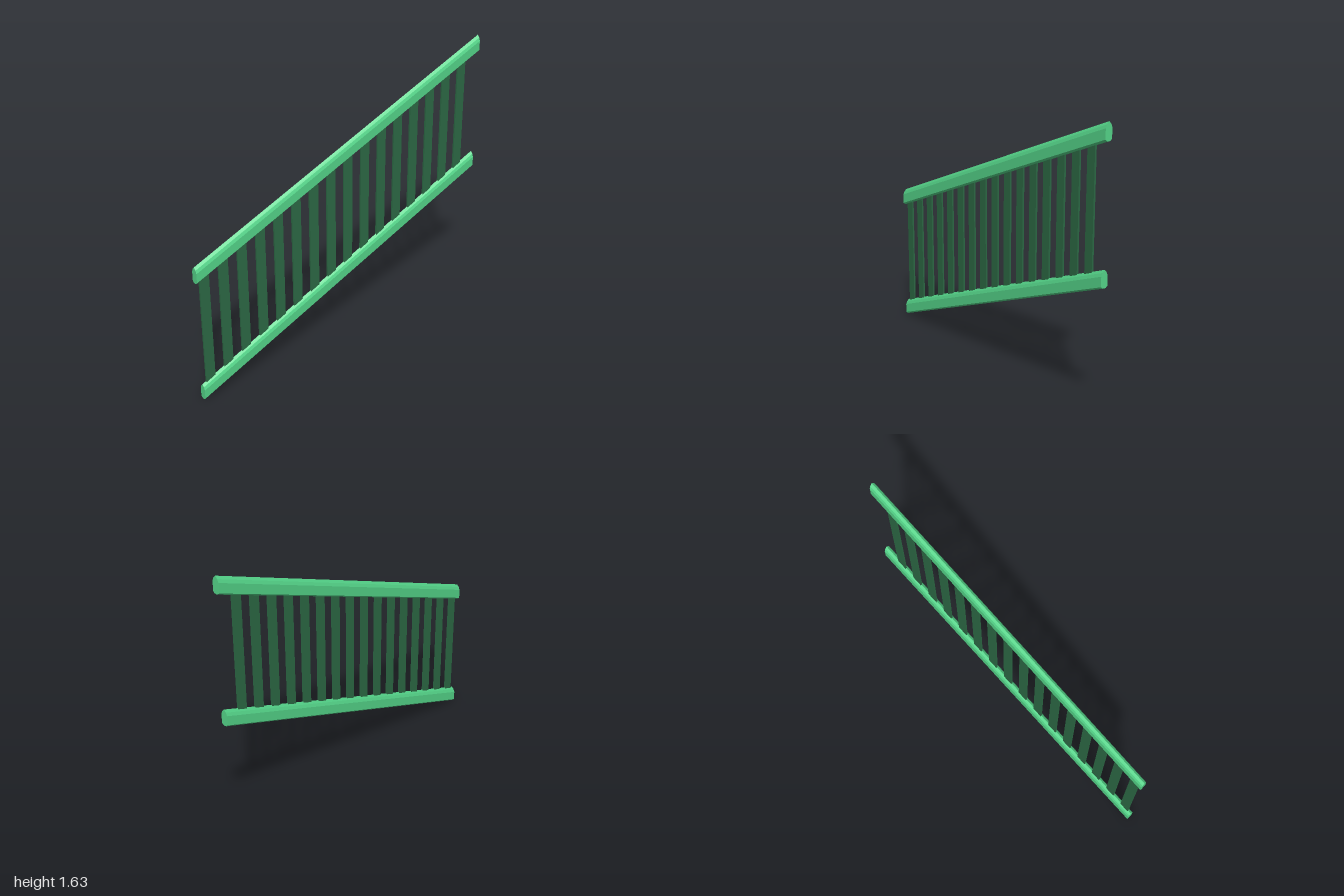
import * as THREE from 'three';

const SLOPE = 0.397;   // rise per unit of run
const GAP = 0.742;     // height between the two rails
const RAIL_H = 0.098;

export function createModel() {
  const group = new THREE.Group();
  const railGreen = new THREE.MeshStandardMaterial({ color: 0x55d68a, flatShading: true });
  railGreen.name = 'light green';
  const barGreen = new THREE.MeshStandardMaterial({ color: 0x2c6a45, flatShading: true });
  barGreen.name = 'dark green';

  const floorAt = (x) => SLOPE * (x + 1); // underside of the lower rail

  // Makes a level part follow the stairs, keeping its ends upright
  const shear = new THREE.Matrix4().set(
    1, 0, 0, 0,
    SLOPE, 1, 0, SLOPE,
    0, 0, 1, 0,
    0, 0, 0, 1
  );

  // Rails: pointed top, straight sides, small chamfers underneath
  const half = [[0.011, 0.002], [0.02, 0.011], [0.02, 0.066], [0.013, 0.084]];
  const profile = new THREE.Shape([
    new THREE.Vector2(0, 0),
    ...half.map(([z, y]) => new THREE.Vector2(z, y)),
    new THREE.Vector2(0, RAIL_H),
    ...half.slice().reverse().map(([z, y]) => new THREE.Vector2(-z, y)),
  ]);
  const railGeo = new THREE.ExtrudeGeometry(profile, { depth: 2, bevelEnabled: false });
  railGeo.translate(0, 0, -1).rotateY(Math.PI / 2).applyMatrix4(shear);

  [['lowerRail', 0], ['handRail', GAP]].forEach(([name, y]) => {
    const rail = new THREE.Mesh(railGeo, railGreen);
    rail.name = name;
    rail.position.y = y;
    group.add(rail);
  });

  // Balusters: thin upright slats whose ends sit inside the rails
  const slatH = GAP - 0.02;
  const slatGeo = new THREE.BoxGeometry(0.06, slatH, 0.01);
  const balusters = new THREE.Group();
  balusters.name = 'balusters';
  for (let i = 0; i < 16; i++) {
    const x = -0.946 + i * 0.1214;
    const slat = new THREE.Mesh(slatGeo, barGreen);
    slat.name = 'baluster';
    slat.position.set(x, floorAt(x) + RAIL_H / 2 + GAP / 2, 0);
    balusters.add(slat);
  }
  group.add(balusters);
  return group;
}
